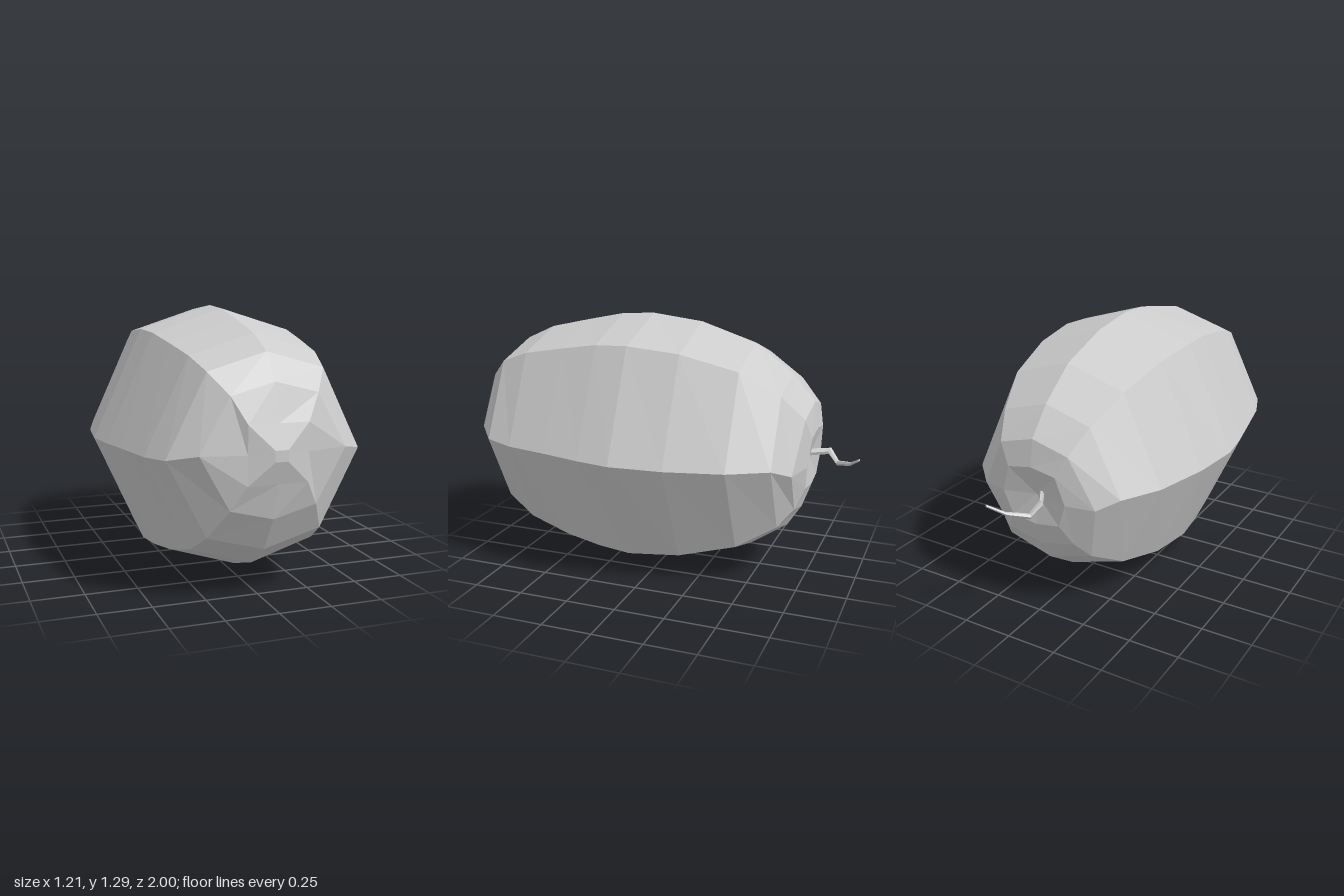
import * as THREE from 'three';

const rind = new THREE.MeshStandardMaterial({ color: 0xcccccc });
rind.name = 'pale grey';

// Skin a list of rings (equal point counts, ordered front to back) with flat faces.
function skin(rings) {
  const pos = [];
  const tri = (a, b, c) => {
    const area = b.clone().sub(a).cross(c.clone().sub(a)).length();
    if (area > 1e-7) for (const p of [a, b, c]) pos.push(p.x, p.y, p.z);
  };
  for (let i = 0; i < rings.length - 1; i++) {
    const n = rings[i].length;
    for (let j = 0; j < n; j++) {
      const k = (j + 1) % n;
      tri(rings[i][j], rings[i + 1][j], rings[i][k]);
      tri(rings[i][k], rings[i + 1][j], rings[i + 1][k]);
    }
  }
  const g = new THREE.BufferGeometry();
  g.setAttribute('position', new THREE.Float32BufferAttribute(pos, 3));
  g.computeVertexNormals();
  return g;
}

// Eight-sided ring: z at top / side / bottom, heights, half width and corner factors.
function bodyRing([zt, zm, zb, top, mid, bot, w, cx = 0.595, cy = 0.825]) {
  const up = top - mid, dn = mid - bot;
  const zu = zm + (zt - zm) * cy, zd = zm + (zb - zm) * cy;
  const p = (x, y, z) => new THREE.Vector3(x, y, z);
  return [
    p(w, mid, zm), p(w * cx, mid + up * cy, zu), p(0, top, zt), p(-w * cx, mid + up * cy, zu),
    p(-w, mid, zm), p(-w * cx, mid - dn * cy, zd), p(0, bot, zb), p(w * cx, mid - dn * cy, zd),
  ];
}

export function createModel() {
  const group = new THREE.Group();
  group.name = 'melon';

  // Melon body, blossom end to the dimple around the stalk
  const profile = [
    [1, 1, 1, 0.695, 0.695, 0.695, 0],
    [1, 1, 1, 0.72, 0.695, 0.67, 0.03, 1, 1],
    [0.967, 0.965, 0.965, 0.83, 0.7, 0.565, 0.14, 1, 1],
    [0.92, 0.92, 0.92, 1.0, 0.7, 0.4, 0.34],
    [0.82, 0.82, 0.82, 1.12, 0.67, 0.235, 0.457],
    [0.67, 0.67, 0.67, 1.19, 0.66, 0.125, 0.51],
    [0.45, 0.45, 0.45, 1.24, 0.658, 0.05, 0.552],
    [0.26, 0.26, 0.26, 1.28, 0.652, 0.015, 0.585],
    [0.09, 0.09, 0.09, 1.29, 0.648, 0, 0.605],
    [-0.17, -0.17, -0.17, 1.26, 0.643, 0.025, 0.57],
    [-0.45, -0.45, -0.45, 1.17, 0.64, 0.11, 0.495],
    [-0.64, -0.64, -0.64, 1.03, 0.64, 0.24, 0.39],
    [-0.755, -0.72, -0.71, 0.9, 0.6, 0.35, 0.305],
    [-0.777, -0.762, -0.75, 0.77, 0.61, 0.47, 0.17, 0.75, 0.85],
    [-0.735, -0.735, -0.735, 0.62, 0.62, 0.62, 0],
  ];
  const body = new THREE.Mesh(skin(profile.map(bodyRing)), rind);
  body.name = 'body';
  group.add(body);

  // Thin crooked stalk, tapering to the tip
  const path = [
    [-0.02, 0.63, -0.72, 0.019], [-0.084, 0.63, -0.825, 0.017], [-0.055, 0.58, -0.872, 0.013],
    [0.02, 0.605, -0.945, 0.01], [0.088, 0.65, -0.996, 0.007], [0.088, 0.65, -0.996, 0],
  ];
  const stalkRings = path.map(([x, y, z, r]) => Array.from({ length: 6 }, (_, j) => {
    const a = (j / 6) * Math.PI * 2;
    return new THREE.Vector3(x + r * Math.cos(a), y + r * Math.sin(a), z + r * 0.5 * Math.cos(a));
  }));
  const stalk = new THREE.Mesh(skin(stalkRings), rind);
  stalk.name = 'stalk';
  group.add(stalk);

  return group;
}
